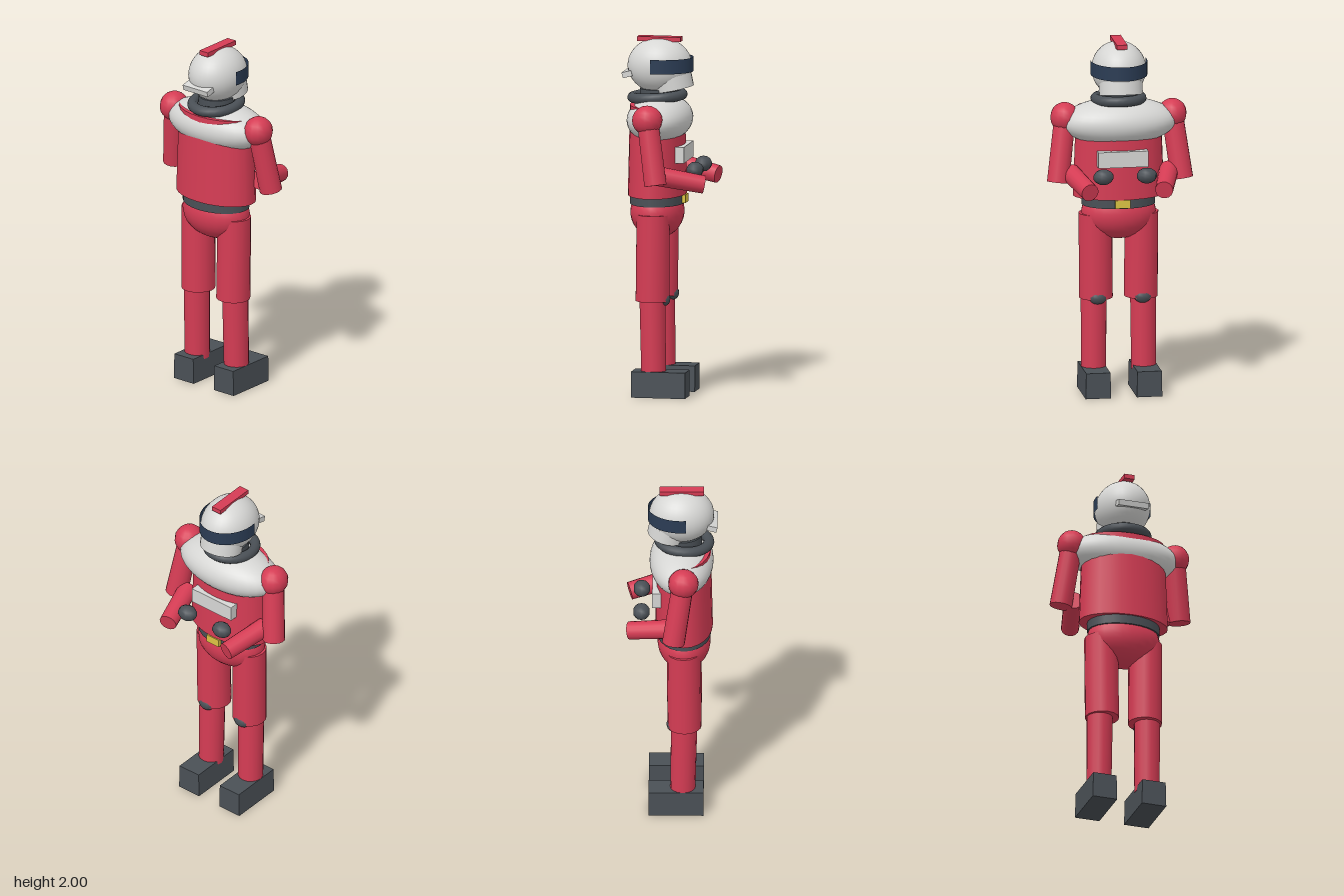
import * as THREE from 'three';

const mat = (name, color, side = THREE.FrontSide) => {
  const m = new THREE.MeshStandardMaterial({ color, side });
  m.name = name;
  return m;
};

export function createModel() {
  const red = mat('suit red', 0xd53c54);
  const white = mat('shell white', 0xd6d6d4);
  const grey = mat('dark grey', 0x4a5056);
  const navy = mat('visor navy', 0x2b3c54, THREE.DoubleSide);
  const yellow = mat('buckle yellow', 0xdcc443);

  const root = new THREE.Group();
  root.name = 'suitedFigure';

  const add = (name, geometry, material, x, y, z) => {
    const mesh = new THREE.Mesh(geometry, material);
    mesh.name = name;
    mesh.position.set(x, y, z);
    root.add(mesh);
    return mesh;
  };
  const ball = (name, material, pos, r, seg = 24) =>
    add(name, new THREE.SphereGeometry(1, seg, Math.round(seg * 0.7)).scale(...r), material, ...pos);
  const box = (name, material, pos, size) =>
    add(name, new THREE.BoxGeometry(...size), material, ...pos);
  const drum = (name, material, pos, rx, rz, h, taper = 1, seg = 24) =>
    add(name, new THREE.CylinderGeometry(taper, 1, h, seg).scale(rx, 1, rz), material, ...pos);
  // Tapered limb running between two points
  const limb = (name, material, a, b, ra, rb) => {
    const from = new THREE.Vector3(...a), to = new THREE.Vector3(...b);
    const dir = from.clone().sub(to);
    const mid = from.clone().add(to).multiplyScalar(0.5);
    const mesh = add(name, new THREE.CylinderGeometry(ra, rb, dir.length(), 16), material, mid.x, mid.y, mid.z);
    mesh.quaternion.setFromUnitVectors(new THREE.Vector3(0, 1, 0), dir.normalize());
    return mesh;
  };

  // Helmet, facing -z
  ball('helmet', white, [0, 1.838, 0.052], [0.152, 0.155, 0.181], 32);
  drum('helmetJaw', white, [0, 1.745, -0.02], 0.122, 0.112, 0.075).rotation.x = 0.2;
  const visor = new THREE.CylinderGeometry(1, 1, 0.08, 32, 1, true, Math.PI * 0.45, Math.PI * 1.1)
    .scale(0.157, 1, 0.185);
  add('visor', visor, navy, 0, 1.848, 0.05);
  box('helmetCrest', red, [0, 1.987, 0.053], [0.06, 0.026, 0.245]);
  box('helmetRearBar', white, [0, 1.794, 0.222], [0.176, 0.032, 0.055]).rotation.x = 0.25;

  // Neck ring, raised slightly towards the face
  const ring = new THREE.TorusGeometry(0.13, 0.029, 12, 28).rotateX(Math.PI / 2).scale(0.98, 1, 1.06);
  add('neckRing', ring, grey, 0, 1.667, 0.066).rotation.x = 0.07;
  drum('neck', grey, [0, 1.675, 0.055], 0.1, 0.11, 0.07);

  // Torso with a white yoke swelling through it
  drum('torso', red, [0, 1.372, 0.066], 0.256, 0.16, 0.505, 0.93);
  ball('yoke', white, [0, 1.54, 0.052], [0.325, 0.132, 0.178], 32);
  box('chestPanel', white, [0, 1.355, -0.085], [0.28, 0.09, 0.05]);
  drum('belt', grey, [0, 1.095, 0.066], 0.207, 0.15, 0.055);
  box('beltBuckle', yellow, [0, 1.097, -0.085], [0.085, 0.046, 0.03]);
  ball('hips', red, [0, 1.02, 0.066], [0.21, 0.15, 0.148]);

  for (const s of [1, -1]) {
    const side = s > 0 ? 'left' : 'right';
    // Arm
    ball(side + 'Shoulder', red, [s * 0.303, 1.57, 0.065], [0.08, 0.083, 0.085], 14);
    limb(side + 'UpperArm', red, [s * 0.303, 1.56, 0.062], [s * 0.348, 1.212, 0.01], 0.06, 0.063);
    limb(side + 'Forearm', red, [s * 0.275, 1.257, 0.02], [s * 0.208, 1.205, -0.238], 0.055, 0.05);
    ball(side + 'Hand', grey, [s * 0.122, 1.275, -0.17], [0.058, 0.044, 0.048], 10);

    // Leg
    limb(side + 'Thigh', red, [s * 0.13, 1.02, 0.065], [s * 0.126, 0.535, 0.07], 0.094, 0.095);
    ball(side + 'Knee', grey, [s * 0.126, 0.545, 0.0], [0.05, 0.037, 0.031], 12);
    limb(side + 'Shin', red, [s * 0.139, 0.56, 0.068], [s * 0.141, 0.12, 0.06], 0.073, 0.07);

    // Boot, narrowing a little towards the top
    const boot = new THREE.BoxGeometry(0.143, 0.145, 0.305);
    const p = boot.attributes.position;
    for (let i = 0; i < p.count; i++) if (p.getY(i) > 0) p.setX(i, p.getX(i) * 0.95);
    boot.computeVertexNormals();
    add(side + 'Boot', boot, grey, s * 0.144, 0.0725, 0.022);
  }
  return root;
}
